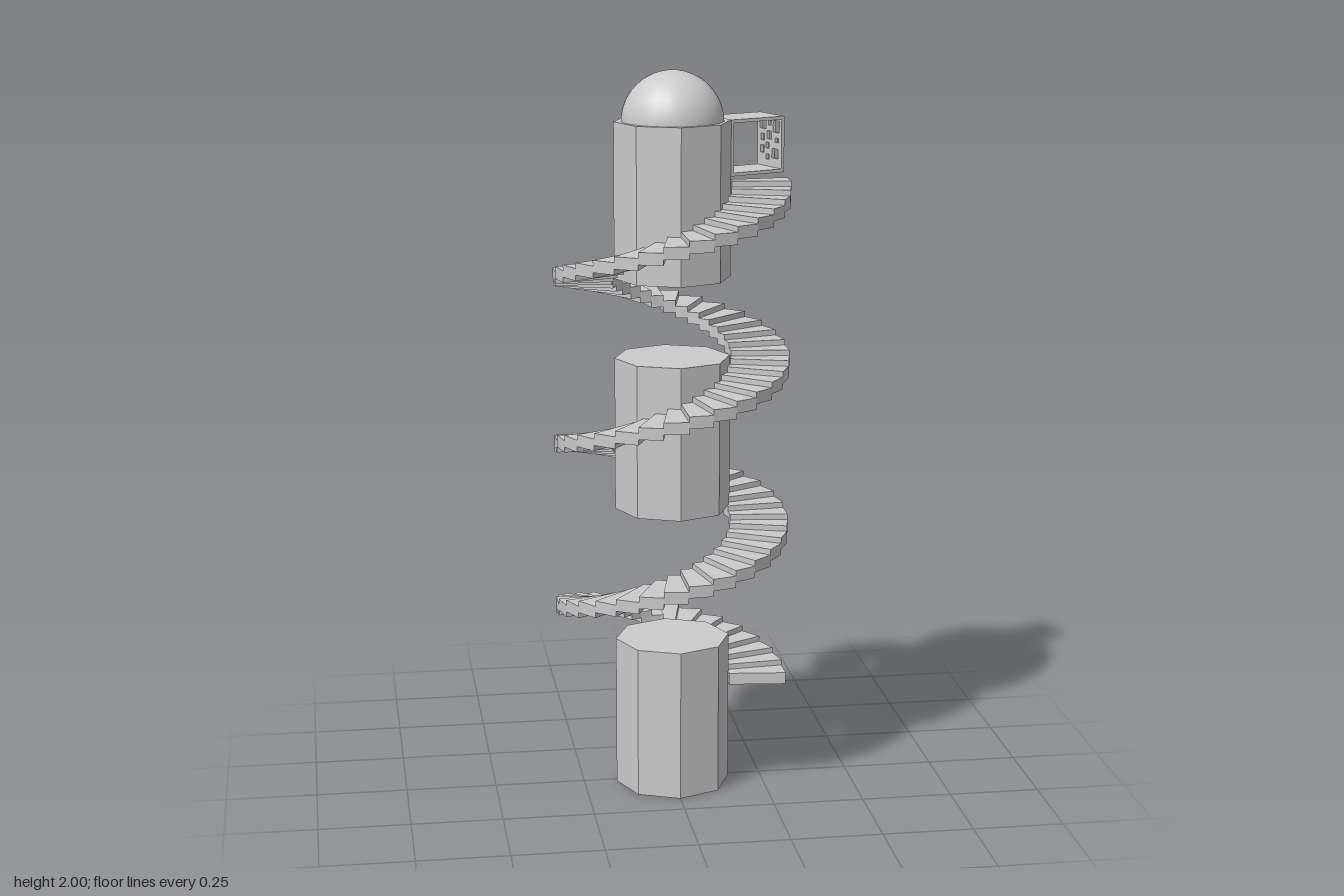
import * as THREE from 'three';

const material = new THREE.MeshStandardMaterial({ color: 0xcccccc, flatShading: true });
const smooth = new THREE.MeshStandardMaterial({ color: 0xcccccc });

function add(parent, name, geometry, x = 0, y = 0, z = 0, mat = material) {
  const mesh = new THREE.Mesh(geometry, mat);
  mesh.name = name;
  mesh.position.set(x, y, z);
  parent.add(mesh);
  return mesh;
}

// Wedge-shaped tread spanning one step angle, centred on +x
function treadGeometry(inner, outer, angle, thickness) {
  const point = (r, a) => new THREE.Vector2(r * Math.cos(a), r * Math.sin(a));
  const h = angle / 2;
  const shape = new THREE.Shape([point(inner, -h), point(outer, -h), point(outer, h), point(inner, h)]);
  const geometry = new THREE.ExtrudeGeometry(shape, { depth: thickness, bevelEnabled: false });
  return geometry.rotateX(-Math.PI / 2);
}

// Upright panel pierced by small rectangular holes, facing +x
function latticeGeometry(width, height, thickness, holes) {
  const rect = (Type, u, v, w, h) => new Type([
    new THREE.Vector2(u, v), new THREE.Vector2(u + w, v),
    new THREE.Vector2(u + w, v + h), new THREE.Vector2(u, v + h)]);
  const shape = rect(THREE.Shape, -width / 2, 0, width, height);
  for (const [u, v, w, h] of holes) shape.holes.push(rect(THREE.Path, u - width / 2, v, w, h));
  const geometry = new THREE.ExtrudeGeometry(shape, { depth: thickness, bevelEnabled: false });
  return geometry.rotateY(Math.PI / 2);
}

export function createModel() {
  const model = new THREE.Group();
  model.name = 'spiralStairTower';
  const axisZ = 0.014;

  // Three separate octagonal drums of the central tower
  const drum = new THREE.CylinderGeometry(0.159, 0.159, 0.423, 8);
  [0, 0.8, 1.442].forEach((base, i) =>
    add(model, ['lowerDrum', 'middleDrum', 'upperDrum'][i], drum, 0, base + 0.2115, axisZ));

  // Dome
  add(model, 'dome', new THREE.SphereGeometry(0.139, 24, 12, 0, Math.PI * 2, 0, Math.PI / 2),
    0, 1.861, axisZ, smooth);

  // Three full turns of stairs, thirty treads per turn
  const stairs = new THREE.Group();
  stairs.name = 'spiralStairs';
  model.add(stairs);
  const stepAngle = Math.PI / 15;
  const tread = treadGeometry(0.162, 0.322, stepAngle, 0.033);
  for (let i = 0; i <= 90; i++) {
    add(stairs, 'tread', tread, 0, 0.272 + i * 0.0155, 0).rotation.y = i * stepAngle;
  }

  // Entrance porch set square to one face of the upper drum
  const porch = new THREE.Group();
  porch.name = 'entrancePorch';
  porch.position.set(0, 1.712, axisZ);
  porch.rotation.y = Math.PI / 8;
  model.add(porch);
  const near = 0.147, far = 0.317, width = 0.121, height = 0.152, wall = 0.009;
  const middle = (near + far) / 2;
  const slab = new THREE.BoxGeometry(far - near, wall, width);
  add(porch, 'porchFloor', slab, middle, wall / 2);
  add(porch, 'porchRoof', slab, middle, height - wall / 2);
  add(porch, 'porchInnerWall', new THREE.BoxGeometry(wall, height, width), near + wall / 2, height / 2);

  // Pierced outer wall: each hole is [across, up, width, height]
  const holes = [
    [0.012, 0.105, 0.03, 0.032], [0.052, 0.122, 0.014, 0.014], [0.078, 0.11, 0.03, 0.025],
    [0.05, 0.084, 0.022, 0.022], [0.085, 0.078, 0.018, 0.018], [0.014, 0.078, 0.018, 0.012],
    [0.062, 0.058, 0.016, 0.016], [0.016, 0.034, 0.032, 0.026], [0.086, 0.044, 0.018, 0.02],
    [0.062, 0.028, 0.016, 0.014],
  ];
  add(porch, 'porchLatticeWall', latticeGeometry(width, height, wall, holes), far - wall, 0);

  return model;
}
